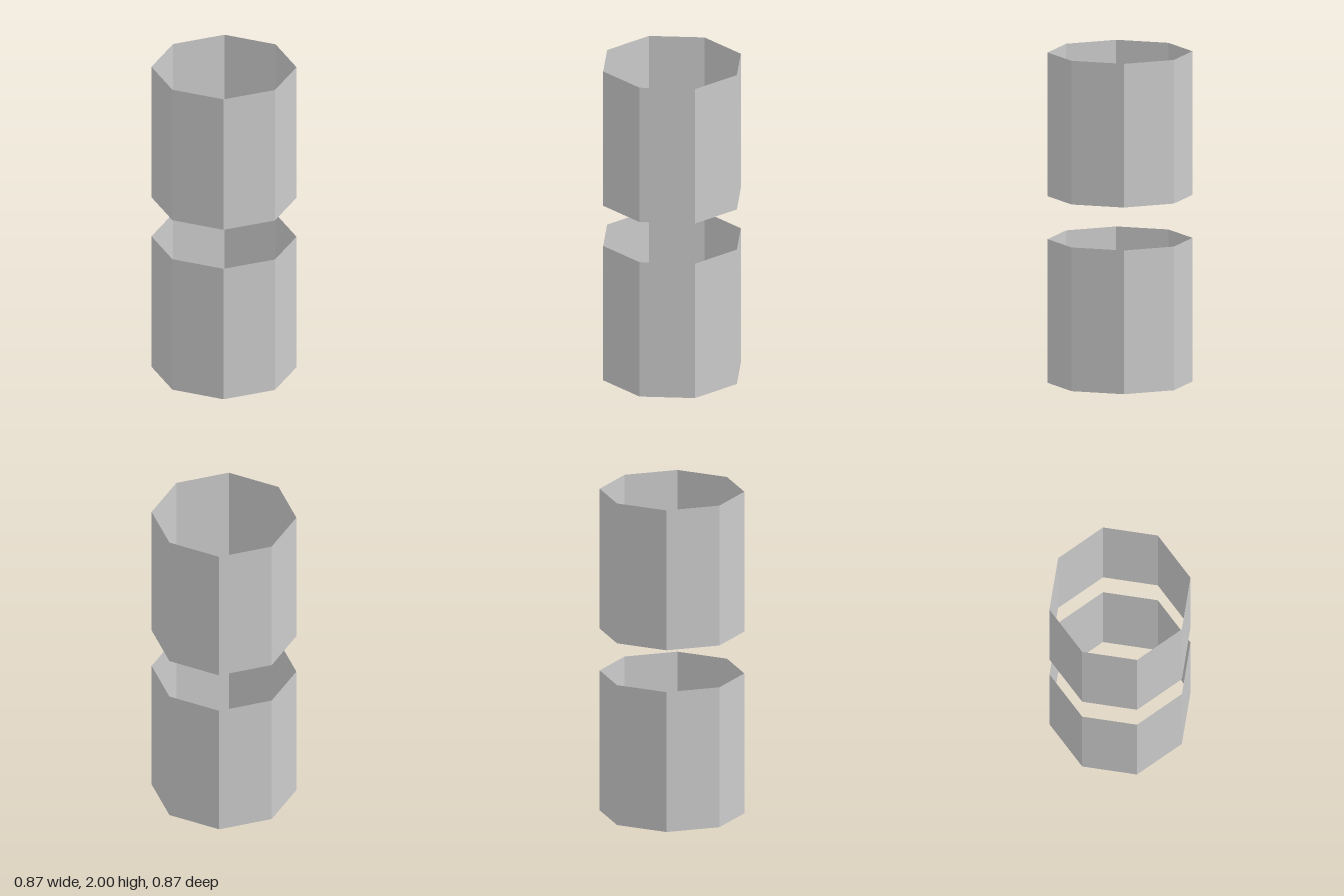
import * as THREE from 'three';

const RADIUS = 0.433;
const HEIGHT = 0.87;
const TOTAL = 2;

export function createModel() {
  const model = new THREE.Group();
  model.name = 'stackedOctagonalTubes';

  const material = new THREE.MeshStandardMaterial({
    color: 0xcccccc,
    flatShading: true,
    side: THREE.DoubleSide,
  });

  // Thin eight-sided sleeve, open at both ends, with a corner facing the front
  const sleeve = new THREE.CylinderGeometry(RADIUS, RADIUS, HEIGHT, 8, 1, true);

  // Two equal sleeves, one above the other with a gap between
  const centres = { lowerTube: HEIGHT / 2, upperTube: TOTAL - HEIGHT / 2 };
  for (const [name, y] of Object.entries(centres)) {
    const tube = new THREE.Mesh(sleeve, material);
    tube.name = name;
    tube.position.y = y;
    model.add(tube);
  }
  return model;
}
